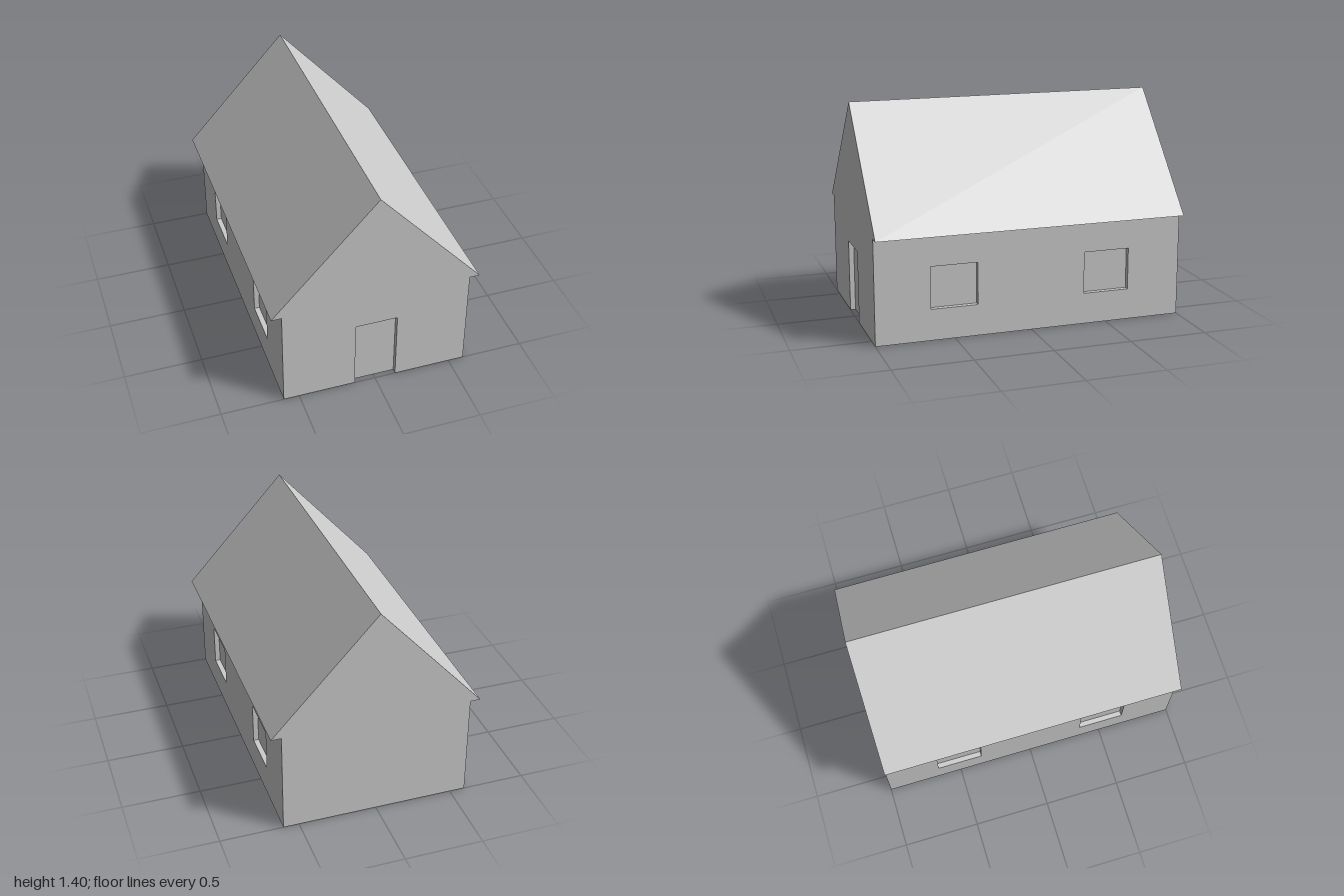
import * as THREE from 'three';

const HALF_W = 0.6, EAVE_X = 0.665, EAVE_Y = 0.67, RIDGE_Y = 1.4, HALF_L = 1;
const RECESS = 0.033;
const DOOR = { half: 0.135, top: 0.47 };
const WINDOW = { z: 0.5, w: 0.3, bottom: 0.2, top: 0.47 };

export function createModel() {
  const house = new THREE.Group();
  house.name = 'house';
  const grey = new THREE.MeshStandardMaterial({ color: 0xcccccc, side: THREE.DoubleSide });
  grey.name = 'plain grey';

  const add = (parent, name, geometry) => {
    const mesh = new THREE.Mesh(geometry, grey);
    mesh.name = name;
    parent.add(mesh);
    return mesh;
  };
  const outline = (points) => new THREE.Shape(points.map(([x, y]) => new THREE.Vector2(x, y)));

  // Flat strip running the whole length of the house between two (x, y) points
  const strip = (name, [x0, y0], [x1, y1]) => {
    const g = new THREE.BufferGeometry();
    g.setAttribute('position', new THREE.Float32BufferAttribute([
      x0, y0, HALF_L, x0, y0, -HALF_L, x1, y1, -HALF_L, x1, y1, HALF_L], 3));
    g.setIndex([0, 1, 2, 0, 2, 3]);
    g.computeVertexNormals();
    return add(house, name, g);
  };

  // Shallow niche opening toward +z: back panel, jambs, head and optional sill
  const niche = (name, w, bottom, top, hasSill) => {
    const group = new THREE.Group();
    group.name = name;
    const h = top - bottom, mid = (top + bottom) / 2;
    add(group, name + 'Panel', new THREE.PlaneGeometry(w, h)).position.set(0, mid, -RECESS);
    for (const s of [-1, 1]) {
      const jamb = add(group, name + 'Jamb', new THREE.PlaneGeometry(RECESS, h));
      jamb.rotation.y = -s * Math.PI / 2;
      jamb.position.set(s * w / 2, mid, -RECESS / 2);
    }
    const head = add(group, name + 'Head', new THREE.PlaneGeometry(w, RECESS));
    head.rotation.x = Math.PI / 2;
    head.position.set(0, top, -RECESS / 2);
    if (hasSill) {
      const sill = add(group, name + 'Sill', new THREE.PlaneGeometry(w, RECESS));
      sill.rotation.x = -Math.PI / 2;
      sill.position.set(0, bottom, -RECESS / 2);
    }
    return group;
  };

  // Gable walls; the front one is notched for the door
  const gable = [[HALF_W, 0], [HALF_W, EAVE_Y], [EAVE_X, EAVE_Y], [0, RIDGE_Y],
    [-EAVE_X, EAVE_Y], [-HALF_W, EAVE_Y], [-HALF_W, 0]];
  const notch = [[-DOOR.half, 0], [-DOOR.half, DOOR.top], [DOOR.half, DOOR.top], [DOOR.half, 0]];
  add(house, 'frontWall', new THREE.ShapeGeometry(outline([...gable, ...notch]))).position.z = HALF_L;
  const back = add(house, 'backWall', new THREE.ShapeGeometry(outline(gable)));
  back.rotation.y = Math.PI;
  back.position.z = -HALF_L;

  // Door
  const door = niche('door', DOOR.half * 2, 0, DOOR.top, false);
  door.position.z = HALF_L;
  house.add(door);

  for (const s of [-1, 1]) {
    const side = s > 0 ? 'left' : 'right';

    // Long wall with two window openings, built facing +z and turned outward
    const wall = new THREE.Group();
    wall.name = side + 'Side';
    const shape = outline([[-HALF_L, 0], [HALF_L, 0], [HALF_L, EAVE_Y], [-HALF_L, EAVE_Y]]);
    for (const c of [-WINDOW.z, WINDOW.z]) {
      const a = c - WINDOW.w / 2, b = c + WINDOW.w / 2;
      shape.holes.push(outline([[a, WINDOW.bottom], [a, WINDOW.top], [b, WINDOW.top], [b, WINDOW.bottom]]));
      const win = niche('window', WINDOW.w, WINDOW.bottom, WINDOW.top, true);
      win.position.x = c;
      wall.add(win);
    }
    add(wall, side + 'Wall', new THREE.ShapeGeometry(shape));
    wall.rotation.y = s * Math.PI / 2;
    wall.position.x = s * HALF_W;
    house.add(wall);

    // Roof slope, eave underside and inner lining; point order keeps faces outward
    const ridge = [0, RIDGE_Y], eave = [s * EAVE_X, EAVE_Y], wallTop = [s * HALF_W, EAVE_Y];
    const facing = (name, p, q) => (s > 0 ? strip(name, p, q) : strip(name, q, p));
    facing(side + 'Roof', eave, ridge);
    facing(side + 'Eave', wallTop, eave);
    facing(side + 'RoofLining', ridge, wallTop);
  }
  return house;
}
